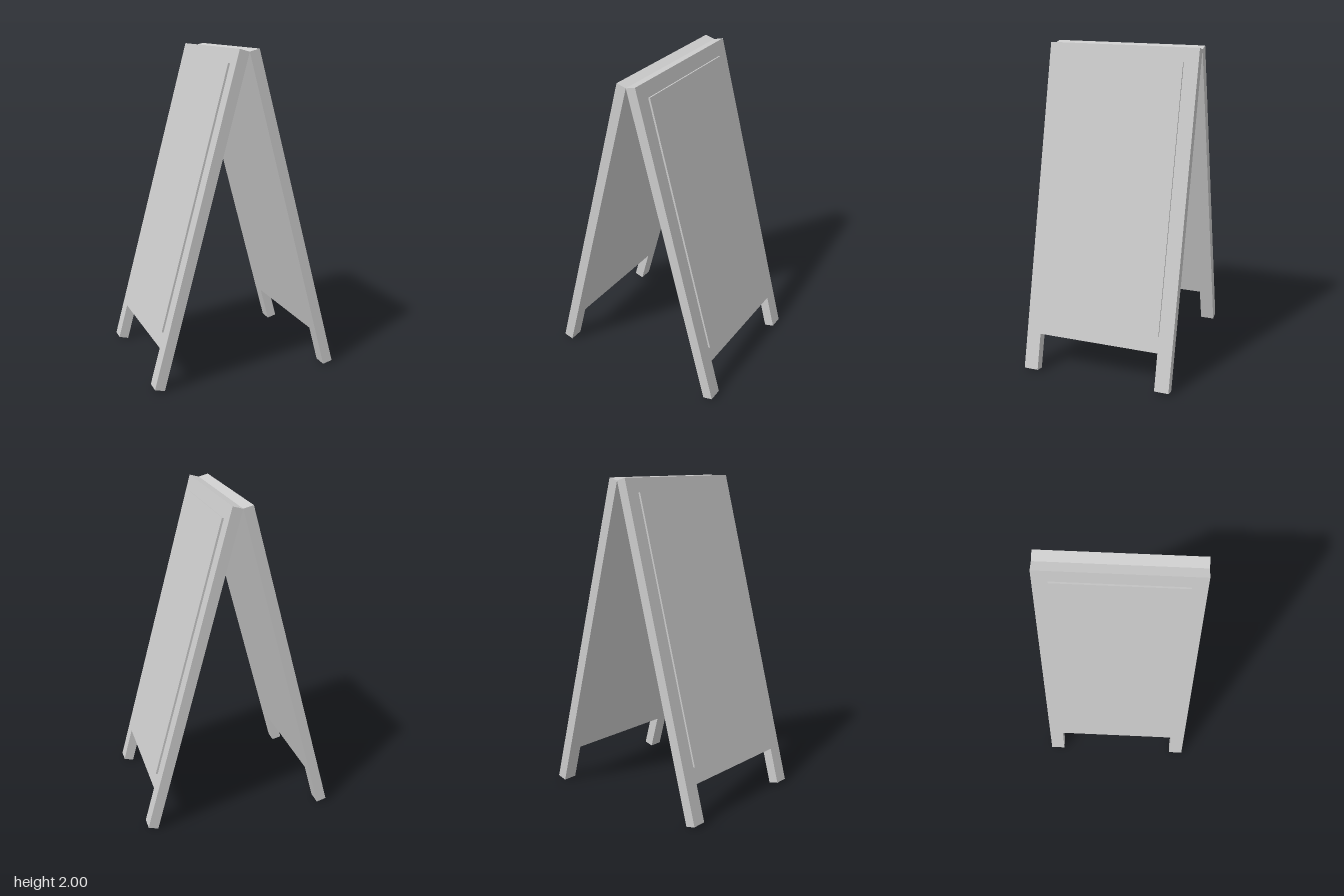
import * as THREE from 'three';

const TILT = THREE.MathUtils.degToRad(15);
const HALF = 0.475;      // half width of the sign
const LENGTH = 2.054;    // length of a leaf along its slope
const THICK = 0.063;     // thickness of a leaf
const RAIL = 0.09;       // width of legs and border
const LEG = 0.231;       // free length of the legs
const PANEL = { top: 0.088, bottom: 1.723, height: 0.012 };

export function createModel() {
  const material = new THREE.MeshStandardMaterial({ color: 0xcccccc, flatShading: true });

  // Board outline with two legs; the hinge edge lies on y = 0
  const inner = HALF - RAIL;
  const outline = new THREE.Shape([
    [-HALF, 0], [-HALF, -LENGTH], [-inner, -LENGTH], [-inner, LEG - LENGTH],
    [inner, LEG - LENGTH], [inner, -LENGTH], [HALF, -LENGTH], [HALF, 0],
  ].map(([x, y]) => new THREE.Vector2(x, y)));
  const boardGeometry = new THREE.ExtrudeGeometry(outline, { depth: THICK, bevelEnabled: false });

  // Raised writing panel, sunk slightly into the board
  const panelDepth = PANEL.height + 0.02;
  const panelGeometry = new THREE.BoxGeometry(2 * inner, PANEL.bottom - PANEL.top, panelDepth);
  panelGeometry.translate(0, -(PANEL.top + PANEL.bottom) / 2, THICK + PANEL.height - panelDepth / 2);

  function makeLeaf(name) {
    const leaf = new THREE.Group();
    leaf.name = name;
    const board = new THREE.Mesh(boardGeometry, material);
    board.name = 'boardWithLegs';
    const panel = new THREE.Mesh(panelGeometry, material);
    panel.name = 'writingPanel';
    leaf.add(board, panel);
    leaf.position.y = LENGTH * Math.cos(TILT);
    leaf.rotation.x = -TILT;
    return leaf;
  }

  // Two leaves meet back to back along the top
  const sign = new THREE.Group();
  sign.name = 'sandwichBoard';
  const back = new THREE.Group();
  back.name = 'backSide';
  back.rotation.y = Math.PI;
  back.add(makeLeaf('backLeaf'));
  sign.add(makeLeaf('frontLeaf'), back);
  sign.rotation.y = -THREE.MathUtils.degToRad(15);

  const model = new THREE.Group();
  model.name = 'model';
  model.add(sign);
  return model;
}
